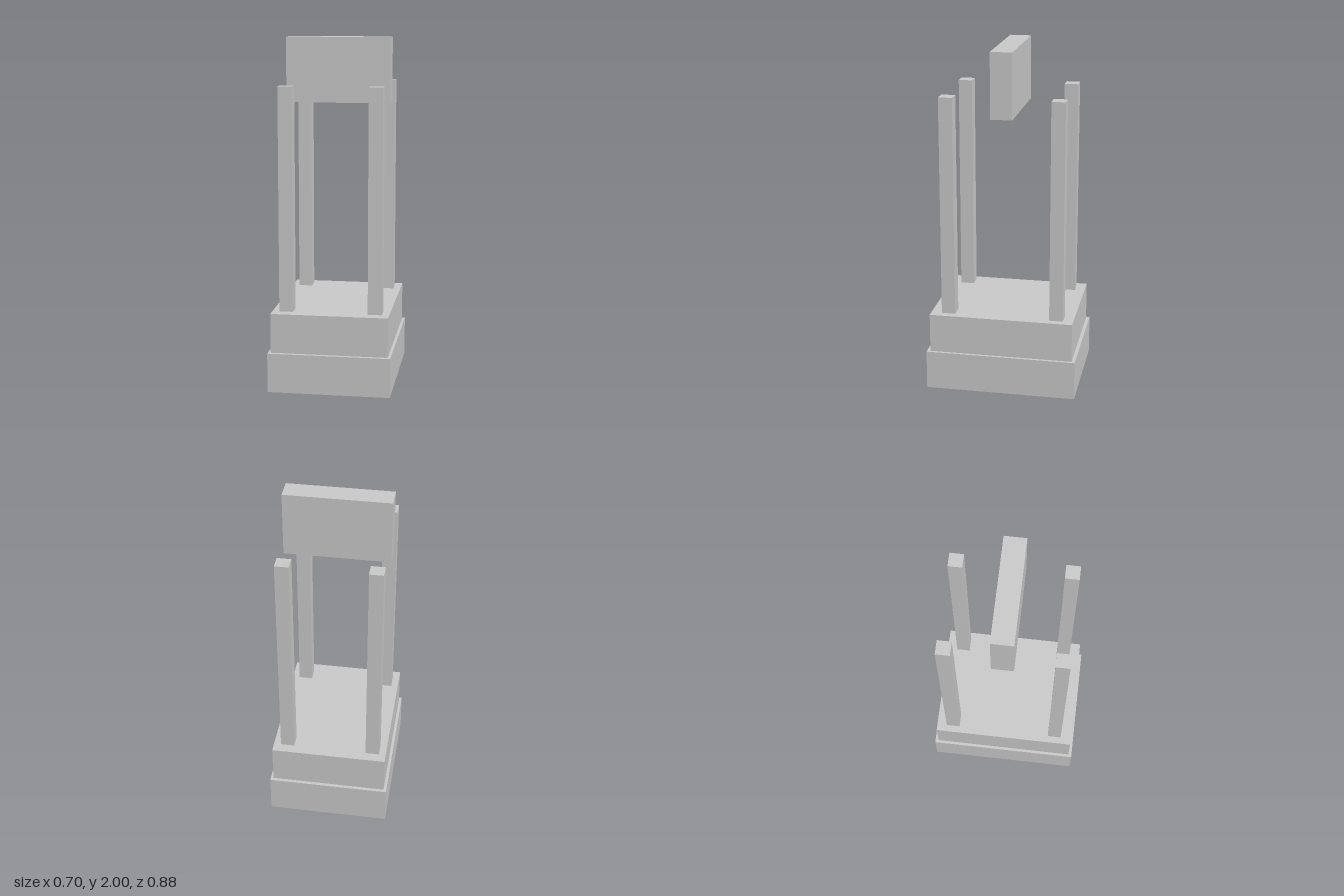
import * as THREE from 'three';

export function createModel() {
  const model = new THREE.Group();
  model.name = 'postedPedestal';
  const lightGrey = new THREE.MeshStandardMaterial({ color: 0xcccccc });
  lightGrey.name = 'lightGrey';

  // Box given by its size, the height of its underside and its centre in plan
  function addBox(name, width, height, depth, bottom, x = 0, z = 0) {
    const mesh = new THREE.Mesh(new THREE.BoxGeometry(width, height, depth), lightGrey);
    mesh.name = name;
    mesh.position.set(x, bottom + height / 2, z);
    model.add(mesh);
  }

  // Stepped base
  addBox('lowerBase', 0.702, 0.228, 0.876, 0);
  addBox('upperBase', 0.67, 0.228, 0.836, 0.228);

  // Four corner posts
  for (const [side, x] of [['Left', 0.253], ['Right', -0.255]]) {
    for (const [end, z] of [['front', 0.315], ['back', -0.319]]) {
      addBox(`${end}${side}Post`, 0.08, 1.281, 0.08, 0.456, x, z);
    }
  }

  // Raised panel above the middle of the base
  addBox('topPanel', 0.602, 0.375, 0.124, 1.625, -0.001, -0.002);

  return model;
}
